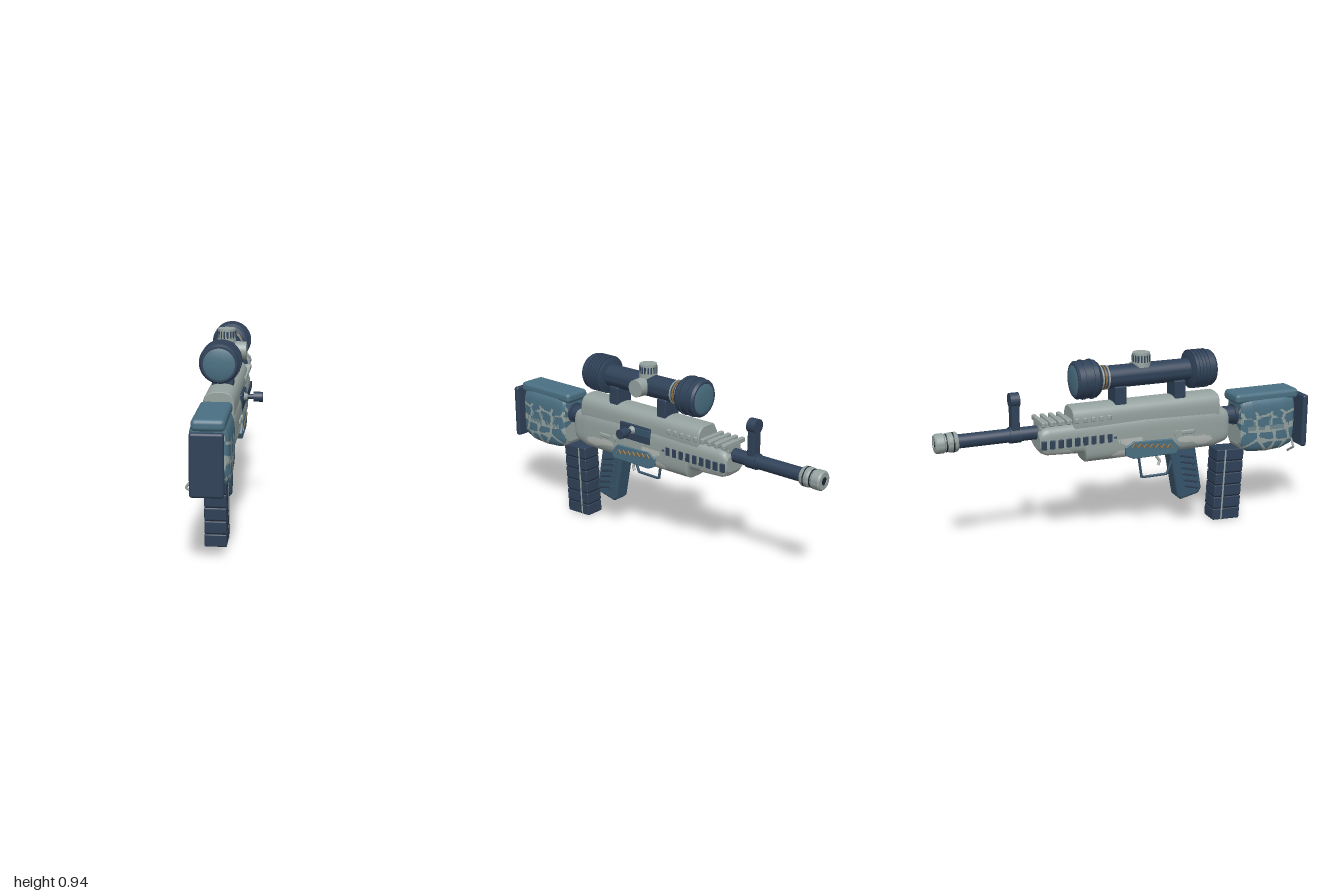
import * as THREE from 'three';
import { toCreasedNormals } from 'three/addons/utils/BufferGeometryUtils.js';
import { RoundedBoxGeometry } from 'three/addons/geometries/RoundedBoxGeometry.js';

const mat = (name, color) => Object.assign(new THREE.MeshStandardMaterial({ color }), { name });

export function createModel() {
  const navy = mat('navy', 0x2f4158), teal = mat('teal', 0x4a6f82), deep = mat('deepTeal', 0x37546a);
  const grey = mat('grey', 0x95a29f), light = mat('lightGrey', 0xb6bcb8);
  const gold = mat('bronze', 0x94703f), black = mat('black', 0x1b2431);
  const model = new THREE.Group();
  model.name = 'rifle';
  const gun = new THREE.Group();
  gun.name = 'rifleBody';
  gun.position.x = -0.0375;
  model.add(gun);

  function add(name, geo, material, x = 0, y = 0, z = 0, parent = gun) {
    const m = new THREE.Mesh(geo, material);
    m.name = name;
    m.position.set(x, y, z);
    parent.add(m);
    return m;
  }
  const box = (w, h, d, r = 0.006) => new RoundedBoxGeometry(w, h, d, 2, Math.min(r, w / 2.1, h / 2.1, d / 2.1));
  const rod = (r, len, seg = 32) => new THREE.CylinderGeometry(r, r, len, seg).rotateX(Math.PI / 2);
  // Turned part along z from [radius, z] points, z rising
  const turned = pts => toCreasedNormals(
    new THREE.LatheGeometry(pts.map(p => new THREE.Vector2(...p)), 40).rotateX(Math.PI / 2), 0.6);
  // Slab cut from a [z, y] outline, centred across x
  function slab(pts, width, bevel) {
    const shape = new THREE.Shape(pts.map(p => new THREE.Vector2(...p)));
    const depth = width - 2 * bevel;
    return new THREE.ExtrudeGeometry(shape, { depth, bevelEnabled: bevel > 0, bevelSize: bevel,
      bevelOffset: -bevel, bevelThickness: bevel, bevelSegments: 3 })
      .translate(0, 0, -depth / 2).rotateY(-Math.PI / 2);
  }
  function wire(pts, r) {
    const path = new THREE.CurvePath();
    const v = pts.map(p => new THREE.Vector3(...p));
    for (let i = 1; i < v.length; i++) path.add(new THREE.LineCurve3(v[i - 1], v[i]));
    return new THREE.TubeGeometry(path, pts.length * 10, r, 8);
  }
  // Rounded-square hull through [z, bottom, top, halfWidth] sections, z falling;
  // rule(x, y, z) picks the material index of each face
  function hull(sections, power, step, seg, rule) {
    const rows = [], pos = [], faces = [[], []];
    sections.forEach((s, i) => {
      const next = sections[i + 1];
      const n = next ? Math.max(1, Math.round((s[0] - next[0]) / step)) : 1;
      for (let k = 0; k < n; k++) rows.push(next ? s.map((v, q) => v + (next[q] - v) * k / n) : s);
    });
    const bend = v => Math.sign(v) * Math.abs(v) ** (2 / power);
    const ring = ([z, b, t, w]) => {
      const start = pos.length / 3;
      for (let j = 0; j < seg; j++) {
        const a = (j / seg) * Math.PI * 2;
        pos.push(w * bend(Math.cos(a)), (b + t) / 2 + (t - b) / 2 * bend(Math.sin(a)), z);
      }
      return start;
    };
    const face = (a, b, c) => {
      const mid = k => (pos[a * 3 + k] + pos[b * 3 + k] + pos[c * 3 + k]) / 3;
      faces[rule(mid(0), mid(1), mid(2))].push(a, b, c);
    };
    const starts = rows.map(ring);
    for (let i = 0; i + 1 < rows.length; i++) for (let j = 0; j < seg; j++) {
      const k = (j + 1) % seg, a = starts[i], b = starts[i + 1];
      face(a + j, b + j, a + k);
      face(b + j, b + k, a + k);
    }
    for (const [row, front] of [[rows[0], true], [rows[rows.length - 1], false]]) {
      const s = ring(row), c = pos.length / 3;
      pos.push(0, (row[1] + row[2]) / 2, row[0]);
      for (let j = 0; j < seg; j++) {
        const k = (j + 1) % seg;
        front ? face(c, s + j, s + k) : face(c, s + k, s + j);
      }
    }
    const g = new THREE.BufferGeometry();
    g.setAttribute('position', new THREE.Float32BufferAttribute(pos, 3));
    g.setIndex([...faces[0], ...faces[1]]);
    g.addGroup(0, faces[0].length, 0);
    g.addGroup(faces[0].length, faces[1].length, 1);
    g.computeVertexNormals();
    return g;
  }

  // Stock with cell camouflage, cheek rest and butt pad
  const hash = (i, j) => { const s = Math.sin(i * 127.1 + j * 311.7) * 43758.5453; return s - Math.floor(s); };
  function web(x, y, z) {
    if (y > 0.59) return 0;
    const u = z / 0.085, v = y / 0.062, d = [];
    for (let i = Math.floor(u) - 1; i <= Math.floor(u) + 1; i++)
      for (let j = Math.floor(v) - 1; j <= Math.floor(v) + 1; j++)
        d.push(Math.hypot(u - i - hash(i, j), v - j - hash(j + 9, i)));
    d.sort((a, b) => a - b);
    return d[1] - d[0] < 0.17 ? 1 : 0;
  }
  add('stock', hull([[0.907, 0.41, 0.65, 0.075], [0.895, 0.385, 0.66, 0.087], [0.84, 0.366, 0.665, 0.094],
    [0.75, 0.36, 0.665, 0.095], [0.65, 0.368, 0.665, 0.092], [0.605, 0.385, 0.66, 0.085],
    [0.592, 0.41, 0.65, 0.074]], 4.5, 0.006, 160, web), [teal, grey]);
  add('cheekRest', box(0.15, 0.054, 0.37, 0.02), teal, 0, 0.663, 0.748);
  add('buttPad', box(0.15, 0.284, 0.032, 0.012), navy, 0, 0.505, 0.981);
  add('slingHook', wire([[-0.07, 0.42, 0.9], [-0.1, 0.38, 0.9], [-0.04, 0.343, 0.9]], 0.006), grey);
  add('stockJoint', rod(0.047, 0.1), navy, 0, 0.568, 0.555);
  add('stockCollar', rod(0.054, 0.015), navy, 0, 0.568, 0.583);

  // Receiver with pale patches, and its domed upper cover
  const patches = (x, y, z) =>
    y < 0.53 && Math.sin(z * 17 + 2.2) * 0.6 + Math.sin(y * 75 + z * 9) * 0.5 + Math.sin(z * 41 - y * 30) * 0.25 > 0.5 ? 1 : 0;
  add('receiver', hull([[0.522, 0.45, 0.61, 0.068], [0.505, 0.44, 0.62, 0.075], [0.44, 0.422, 0.64, 0.082],
    [0.05, 0.422, 0.645, 0.086], [-0.262, 0.424, 0.64, 0.084], [-0.27, 0.472, 0.635, 0.083],
    [-0.46, 0.482, 0.63, 0.08], [-0.485, 0.492, 0.622, 0.077], [-0.5, 0.515, 0.6, 0.066]], 3.6, 0.01, 96, patches), [grey, light]);
  add('upperCover', hull([[0.468, 0.55, 0.706, 0.07], [0.46, 0.55, 0.712, 0.076], [-0.32, 0.55, 0.712, 0.076],
    [-0.328, 0.55, 0.706, 0.07]], 2.9, 0.2, 64, () => 0), [grey, grey]);
  for (let i = 0; i < 9; i++) {
    const z = -0.143 - i * 0.0425;
    add('railBar', box(0.168, 0.026, 0.022), grey, 0, 0.65, z);
    for (const s of [-1, 1]) add('vent', box(0.012, 0.044, 0.027, 0.003), navy, s * 0.08, 0.546, z);
  }
  add('railBase', box(0.1, 0.04, 0.19), grey, 0, 0.632, -0.4);

  // Side panels with bronze lacing, on both sides
  const panel = [[0.236, 0.455], [0.215, 0.424], [-0.02, 0.424], [-0.06, 0.444], [-0.064, 0.487], [-0.02, 0.513], [0.19, 0.505]];
  const lace = Array.from({ length: 15 }, (_, i) => [0, 0.456 + i * 0.002 + (i % 2) * 0.022, 0.195 - i * 0.016]);
  for (const s of [-1, 1]) {
    add('sidePanel', slab(panel, 0.036, 0.005), teal, s * 0.075, 0, 0);
    add('lacing', wire(lace, 0.0035), gold, s * 0.094, 0, 0);
    add('selectorPlate', box(0.014, 0.022, 0.1), grey, s * 0.084, 0.53, 0.27);
    add('selectorKnob', new THREE.CylinderGeometry(0.019, 0.019, 0.02, 20).rotateZ(Math.PI / 2), grey, s * 0.084, 0.527, 0.225);
    add('smallPin', box(0.012, 0.012, 0.02), navy, s * 0.082, 0.546, -0.115);
  }

  // Ejection port and bolt handle on the model's left
  add('boltPort', box(0.03, 0.084, 0.204, 0.004), navy, 0.074, 0.593, 0.075);
  add('boltCover', box(0.012, 0.04, 0.1, 0.004), deep, 0.086, 0.607, 0.02);
  const bolt = (name, r1, r2, len, m, x) =>
    add(name, new THREE.CylinderGeometry(r1, r2, len, 24).rotateZ(-Math.PI / 2), m, x, 0.608, 0.09);
  bolt('boltCone', 0.013, 0.024, 0.024, grey, 0.096);
  bolt('boltStem', 0.012, 0.012, 0.06, navy, 0.115);
  bolt('boltKnob', 0.025, 0.025, 0.046, navy, 0.16);

  // Barrel, muzzle and front sight
  add('barrel', rod(0.034, 0.42), navy, 0, 0.594, -0.69);
  add('muzzle', turned([[0.019, -1], [0.042, -1], [0.048, -0.992], [0.048, -0.958], [0.043, -0.952], [0.043, -0.938],
    [0.048, -0.932], [0.048, -0.897], [0.043, -0.889], [0.03, -0.889]]), grey, 0, 0.594, 0);
  for (const z of [-0.945, -0.912]) add('muzzleRing', rod(z < -0.93 ? 0.045 : 0.049, 0.006), black, 0, 0.594, z);
  add('bore', rod(0.022, 0.02), black, 0, 0.594, -0.987);
  add('sightBand', rod(0.04, 0.055), navy, 0, 0.594, -0.607);
  add('sightPost', box(0.056, 0.17, 0.04), navy, 0, 0.695, -0.605);
  add('sightHead', rod(0.036, 0.046, 24), navy, 0, 0.768, -0.605);

  // Scope: tube, bells, rings, lenses, mounts and turrets
  const scope = new THREE.Group();
  scope.name = 'scope';
  scope.position.y = 0.835;
  gun.add(scope);
  add('scopeTube', turned([[0, -0.302], [0.084, -0.302], [0.094, -0.292], [0.094, -0.195], [0.08, -0.178], [0.057, -0.172],
    [0.057, 0.31], [0.08, 0.315], [0.093, 0.322], [0.093, 0.432], [0.084, 0.444], [0, 0.444]]), navy, 0, 0, 0, scope);
  for (const z of [0.326, 0.345, 0.364, 0.383, 0.402, -0.215, -0.26])
    add('gripRing', rod(0.0985, 0.01, 48), navy, 0, 0, z, scope);
  for (const z of [-0.132, -0.148, -0.163]) add('focusRing', rod(0.061, 0.007), z === -0.148 ? gold : grey, 0, 0, z, scope);
  add('rearLens', turned([[0.078, 0.443], [0.06, 0.449], [0.03, 0.452], [0, 0.453]]), teal, 0, 0, 0, scope);
  add('frontLens', turned([[0, -0.31], [0.03, -0.309], [0.06, -0.307], [0.078, -0.301]]), teal, 0, 0, 0, scope);
  for (const z of [0.252, -0.071]) add('scopeMount', box(0.104, 0.105, 0.06), navy, 0, -0.095, z, scope);
  const knob = new THREE.CylinderGeometry(0.044, 0.047, 0.07, 32);
  add('topTurret', knob, grey, 0, 0.076, 0.058, scope);
  for (let i = 0; i < 18; i++) {
    const a = i / 18 * Math.PI * 2;
    add('turretGroove', box(0.006, 0.035, 0.008, 0.002), navy,
      Math.cos(a) * 0.044, 0.082, 0.058 + Math.sin(a) * 0.044, scope).rotation.y = -a;
  }
  add('sideTurret', knob.clone().rotateZ(-Math.PI / 2), grey, 0.064, 0, 0.058, scope);

  // Magazine, leaning slightly
  const mag = new THREE.Group();
  mag.name = 'magazine';
  mag.position.set(-0.002, 0.004, 0.53);
  mag.rotation.x = 0.05;
  gun.add(mag);
  add('magazineCore', box(0.098, 0.385, 0.15), black, 0, 0.197, 0, mag);
  for (let i = 0; i < 6; i++) add('magazineSegment', box(0.105, 0.063, 0.157, 0.007), navy, 0, 0.033 + i * 0.0655, 0, mag);
  for (const s of [-1, 1]) add('magazineStripe', box(0.004, 0.385, 0.009, 0.001), grey, s * 0.0525, 0.195, -0.03, mag);

  // Grip with side ribs, trigger and guard
  add('grip', slab([[0.345, 0.44], [0.21, 0.44], [0.206, 0.4], [0.25, 0.165], [0.268, 0.15], [0.37, 0.172], [0.386, 0.2]], 0.094, 0.014), deep);
  for (let i = 0; i < 6; i++)
    add('gripRib', box(0.1, 0.014, 0.085, 0.004), navy, 0, 0.385 - i * 0.034, 0.297 + i * 0.006).rotation.x = 0.25;
  add('triggerGuard', wire([[-0.06, 0.38, 0.205], [-0.06, 0.31, 0.178], [-0.06, 0.31, 0.037], [-0.06, 0.44, 0.018]], 0.007), deep);
  add('trigger', wire([[0, 0.44, 0.14], [0, 0.39, 0.145], [0, 0.365, 0.165], [0, 0.342, 0.155]], 0.008), light);
  return model;
}
